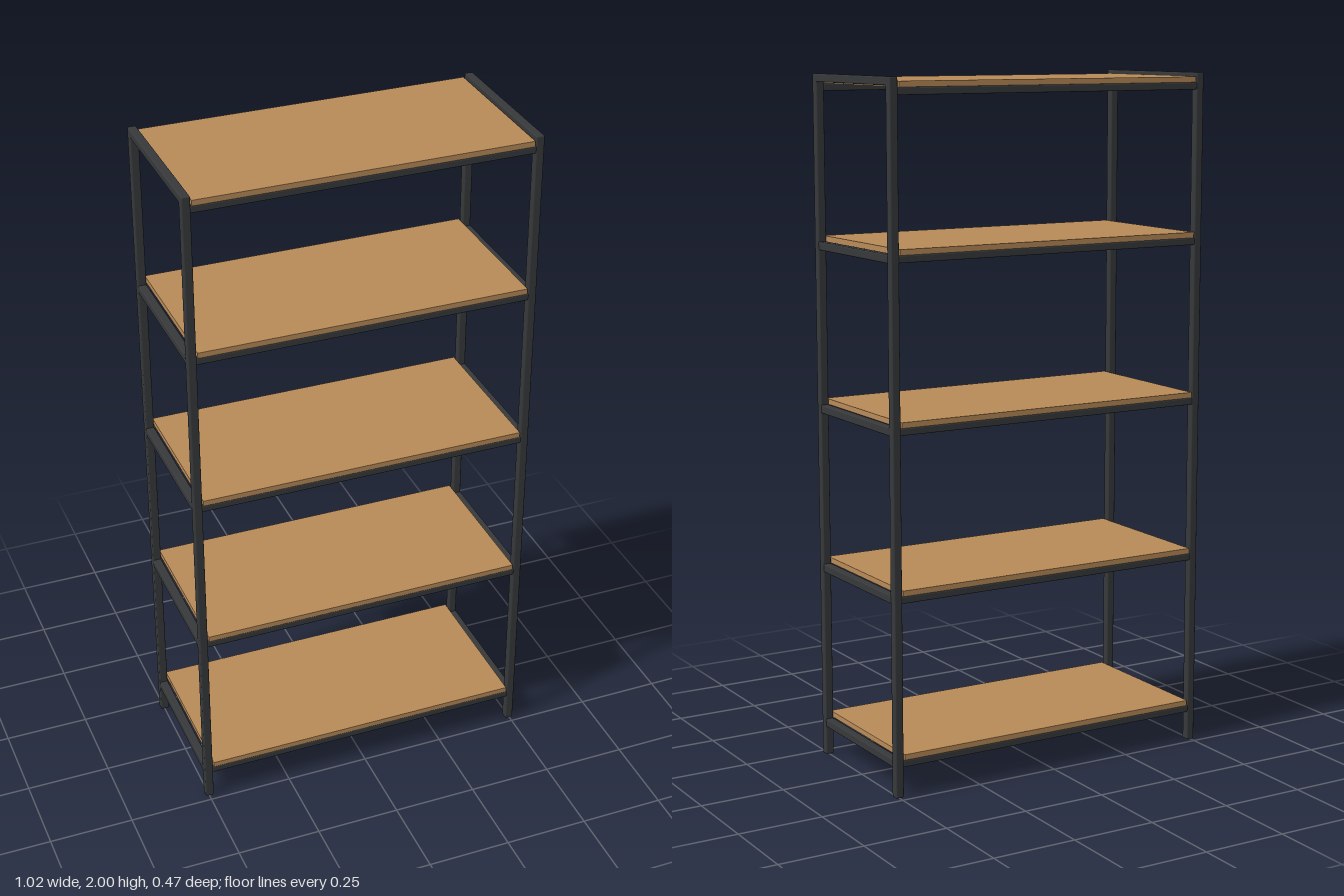
import * as THREE from 'three';
import { RoundedBoxGeometry } from 'three/addons/geometries/RoundedBoxGeometry.js';

export function createModel() {
  const model = new THREE.Group();
  model.name = 'shelvingUnit';

  const metal = new THREE.MeshStandardMaterial({ color: 0x36383a });
  metal.name = 'dark metal';
  const wood = new THREE.MeshStandardMaterial({ color: 0xb88a58 });
  wood.name = 'light wood';

  const halfW = 0.511, halfD = 0.233; // outer size of the frame
  const tube = 0.025;                 // square tube thickness
  const postX = halfW - tube / 2, postZ = halfD - tube / 2;

  // Square tube with softened edges
  function bar(name, parent, w, h, d, x, y, z) {
    const mesh = new THREE.Mesh(new RoundedBoxGeometry(w, h, d, 2, 0.004), metal);
    mesh.name = name;
    mesh.position.set(x, y, z);
    parent.add(mesh);
  }

  // Wooden board
  function board(parent, top) {
    const height = 0.016;
    const mesh = new THREE.Mesh(new THREE.BoxGeometry(0.966, height, 2 * halfD), wood);
    mesh.name = 'shelfBoard';
    mesh.position.y = top - height / 2;
    parent.add(mesh);
  }

  // Four corner posts
  for (const sx of [-1, 1]) {
    for (const sz of [-1, 1]) {
      bar('cornerPost', model, tube, 1.99, tube, sx * postX, 0.995, sz * postZ);
    }
  }

  // Shelves: board on front and back rails, with a rail on each side
  const tops = [0.125, 0.597, 1.069, 1.541, 1.988];
  tops.forEach((top, i) => {
    const shelf = new THREE.Group();
    shelf.name = 'shelf' + (i + 1);
    model.add(shelf);
    board(shelf, top);

    const isTop = i === tops.length - 1;
    const railH = 0.021;
    const railY = top - 0.016 - railH / 2;
    for (const s of [-1, 1]) {
      bar('longRail', shelf, 2 * (halfW - tube) + 0.004, railH, tube, 0, railY, s * postZ);
      // The uppermost side rails cap the posts
      if (isTop) bar('topSideRail', shelf, tube, 0.024, 2 * halfD, s * postX, 1.988, 0);
      else bar('sideRail', shelf, tube, 0.024, 2 * (halfD - tube) + 0.004, s * postX, railY, 0);
    }
  });

  return model;
}
